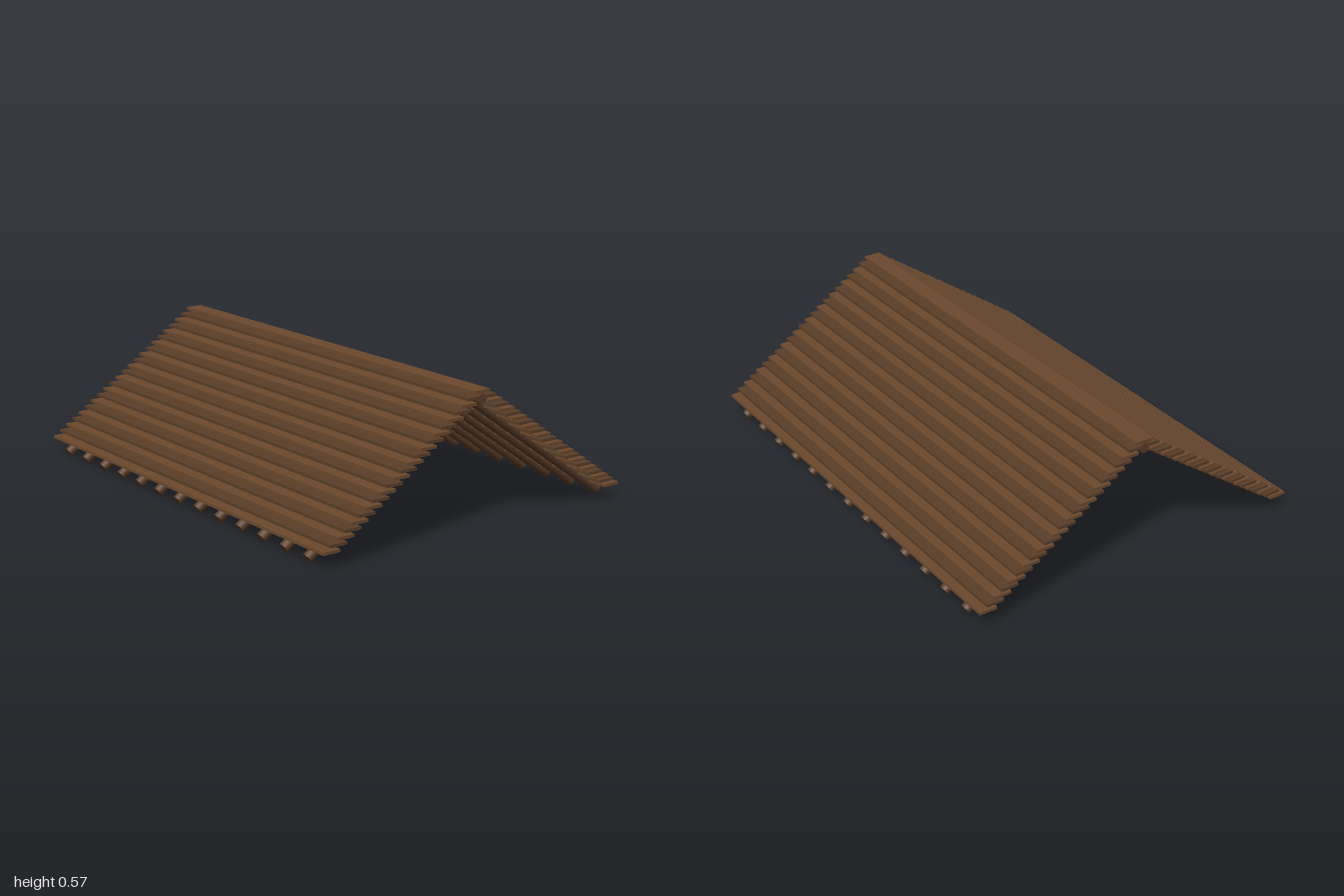
import * as THREE from 'three';

const APEX_Y = 0.533, EAVE_Y = 0.019, EAVE_Z = 0.738; // rafter centre lines
const LOG_RADIUS = 0.022;

export function createModel() {
  const roof = new THREE.Group();
  roof.name = 'gableRoof';

  const logMaterial = new THREE.MeshStandardMaterial({ color: 0x5a3d28 });
  const plankMaterials = [0x6b4a2f, 0x5a3f29].map(
    (color) => new THREE.MeshStandardMaterial({ color }));

  const add = (name, geometry, material, x, y, z, tilt = 0) => {
    const mesh = new THREE.Mesh(geometry, material);
    mesh.name = name;
    mesh.position.set(x, y, z);
    mesh.rotation.x = tilt;
    roof.add(mesh);
  };

  // Round rafters, paired on the two slopes
  const rise = APEX_Y - EAVE_Y;
  const rafter = new THREE.CylinderGeometry(
    LOG_RADIUS, LOG_RADIUS, Math.hypot(rise, EAVE_Z), 10);
  const tilt = Math.atan2(EAVE_Z, rise);
  for (let i = -6; i <= 6; i++) {
    for (const side of [1, -1]) {
      add('rafter', rafter, logMaterial,
        i * 0.1475, (APEX_Y + EAVE_Y) / 2, side * EAVE_Z / 2, -side * tilt);
    }
  }

  // Ridge pole along the top of the rafters
  const pole = new THREE.CylinderGeometry(LOG_RADIUS, LOG_RADIUS, 2, 10);
  pole.rotateZ(Math.PI / 2);
  add('ridgePole', pole, logMaterial, 0, APEX_Y, 0);

  // Level planks stepping down both slopes from the ridge cap
  const plank = new THREE.BoxGeometry(2, 0.012, 0.076);
  const rows = 22;
  add('ridgeCap', plank, plankMaterials[0], 0, 0.563, 0);
  for (let i = 1; i <= rows; i++) {
    const t = i / rows;
    for (const side of [1, -1]) {
      add('roofPlank', plank, plankMaterials[i % 2],
        0, THREE.MathUtils.lerp(0.563, 0.069, t), side * 0.711 * t);
    }
  }

  return roof;
}
